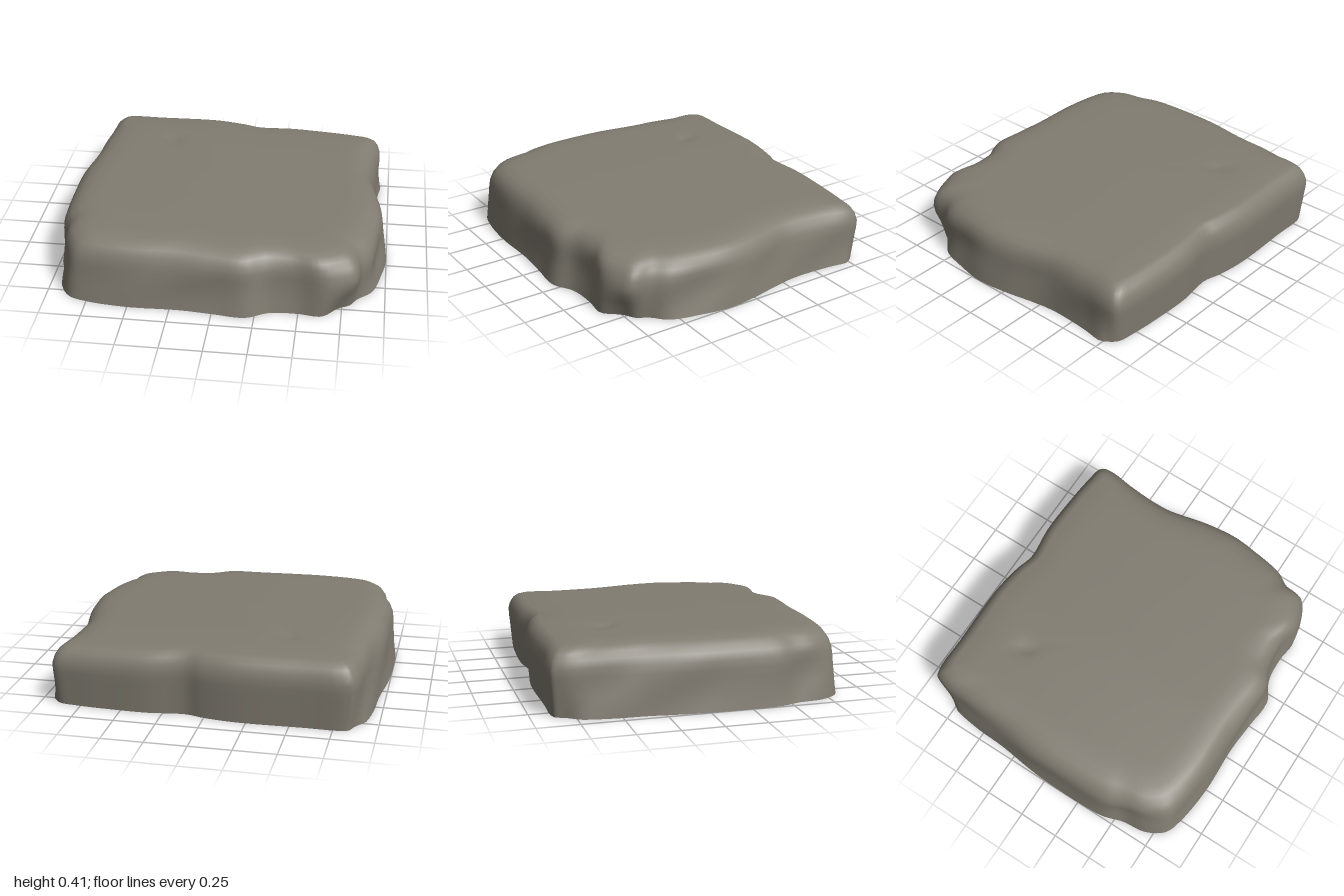
import * as THREE from 'three';

// Footprint of the slab as [x, z], from the back edge round by the +x side
const outline = [
  [-0.86, -0.9], [-0.6, -0.91], [-0.2, -0.915], [0, -0.89], [0.12, -0.86], [0.35, -0.885],
  [0.6, -0.88], [0.8, -0.865], [0.92, -0.84], [0.95, -0.76], [0.93, -0.6], [0.92, -0.35],
  [0.94, -0.2], [0.98, 0], [1, 0.2], [0.97, 0.38], [0.93, 0.55], [0.88, 0.65],
  [0.86, 0.76], [0.8, 0.81], [0.67, 0.865], [0.5, 0.83], [0.33, 0.84], [0.2, 0.905],
  [0, 0.89], [-0.2, 0.875], [-0.5, 0.88], [-0.75, 0.85], [-0.86, 0.81], [-0.93, 0.7],
  [-0.95, 0.55], [-0.99, 0.42], [-1, 0.1], [-0.99, -0.1], [-0.96, -0.35], [-0.95, -0.55],
  [-0.92, -0.75], [-0.89, -0.85],
];

// Side profile as [inset toward the centre, share of the full height]
const profile = [
  [0, 0], [0.004, 0.15], [0.008, 0.3], [0.012, 0.45], [0.015, 0.58], [0.022, 0.7],
  [0.04, 0.81], [0.07, 0.9], [0.115, 0.96], [0.17, 0.99], [0.24, 1],
  [0.3, 1], [0.36, 1], [0.42, 1], [0.48, 1], [0.54, 1], [0.7, 1], [0.85, 1],
];

const bump = (x, z, cx, cz, r) => Math.exp(-((x - cx) ** 2 + (z - cz) ** 2) / (r * r));

// Gently tilted top, lower toward +x, with one small chip
function topHeight(x, z) {
  return 0.414 - 0.04 * Math.max(0, x + 0.2) - 0.02 * z * z
    - 0.018 * bump(x, z, -0.44, -0.49, 0.05);
}

function slabGeometry(segments = 160) {
  const curve = new THREE.CatmullRomCurve3(
    outline.map(([x, z]) => new THREE.Vector3(x, 0, z)), true, 'centripetal');
  const ring = curve.getPoints(segments).slice(0, segments);
  const positions = [];
  const indices = [];

  profile.forEach(([inset, rise], level) => {
    ring.forEach((p, i) => {
      const back = THREE.MathUtils.smoothstep(-p.z, 0.7, 0.85);
      const angle = (i / segments) * Math.PI * 2;
      // Back edge is crisper and slightly undercut
      let d = inset * (1 - 0.35 * back * (inset < 0.2 ? 1 : 0)) + 0.035 * back * Math.max(0, 1 - rise / 0.7);
      // Worn hollows on the walls
      const wall = Math.sin(Math.PI * Math.min(1, rise)) * (1 - back);
      d += wall * 0.012 * (1 + Math.sin(angle * 9 + rise * 4) * Math.sin(angle * 4 + 1));
      // Broken lower corner at the front
      d += 0.09 * bump(p.x, p.z, 0.79, 0.77, 0.16) * Math.max(0, 1 - rise / 0.5);
      const x = p.x * (1 - d);
      const z = p.z * (1 - d);
      positions.push(x, rise * topHeight(x, z), z);
      if (level > 0) {
        const j = (i + 1) % segments;
        const lower = (level - 1) * segments;
        const upper = level * segments;
        indices.push(lower + i, upper + i, lower + j, lower + j, upper + i, upper + j);
      }
    });
  });

  // Close the top; the underside stays open
  const centre = positions.length / 3;
  const last = centre - segments;
  positions.push(0, topHeight(0, 0), 0);
  for (let i = 0; i < segments; i++) indices.push(last + i, centre, last + ((i + 1) % segments));

  const geometry = new THREE.BufferGeometry();
  geometry.setAttribute('position', new THREE.Float32BufferAttribute(positions, 3));
  geometry.setIndex(indices);
  geometry.computeVertexNormals();
  return geometry;
}

export function createModel() {
  const stone = new THREE.MeshStandardMaterial({ color: 0x827d72, side: THREE.DoubleSide });
  stone.name = 'weathered stone';
  const slab = new THREE.Mesh(slabGeometry(), stone);
  slab.name = 'stoneSlab';
  const group = new THREE.Group();
  group.name = 'stone';
  group.add(slab);
  return group;
}
